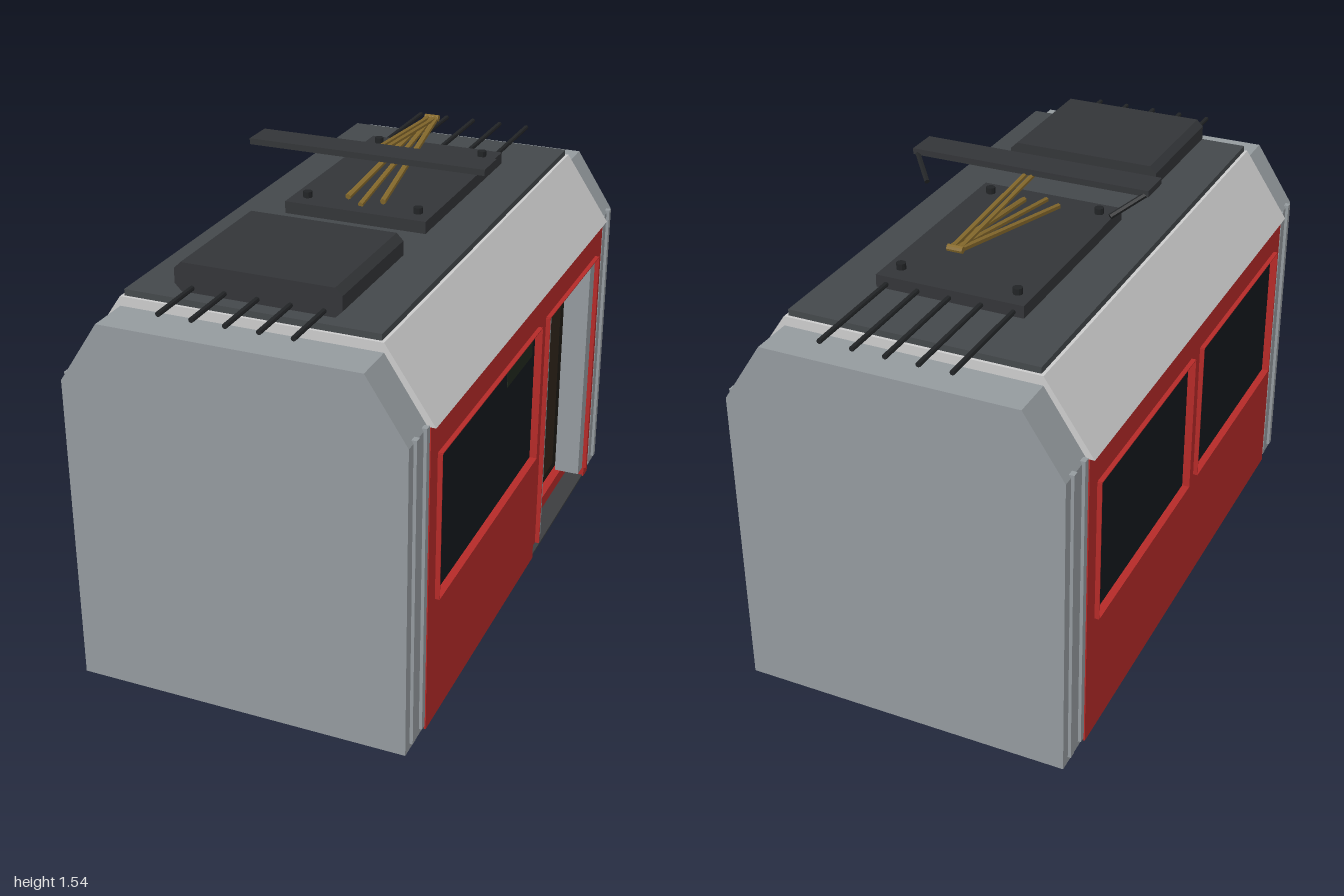
import * as THREE from 'three';

const mat = (color) => new THREE.MeshStandardMaterial({ color, flatShading: true, side: THREE.DoubleSide });
const M = {
  red: mat(0xb52a28), grey: mat(0x949a9e), light: mat(0xc6c9ca), dark: mat(0x333538), roof: mat(0x44484b),
  glass: mat(0x14181d), sign: mat(0x20281d), inside: mat(0x1f1b16), door: mat(0x30251a),
  brass: mat(0x866a2c), black: mat(0x222426), floor: mat(0x3c3d3f),
};

export function createModel() {
  const root = new THREE.Group();
  const add = (name, geo, m) => {
    const mesh = new THREE.Mesh(geo, m);
    mesh.name = name;
    root.add(mesh);
    return mesh;
  };
  // Box from its minimum and maximum along each axis
  const box = (name, m, x0, x1, y0, y1, z0, z1) =>
    add(name, new THREE.BoxGeometry(x1 - x0, y1 - y0, z1 - z0), m)
      .position.set((x0 + x1) / 2, (y0 + y1) / 2, (z0 + z1) / 2);
  const shape = (pts) => new THREE.Shape(pts.map(([x, y]) => new THREE.Vector2(x, y)));
  const extrude = (s, depth) => new THREE.ExtrudeGeometry(s, { depth, bevelEnabled: false });
  // Cross-section in x, y drawn out from z0 to z1
  const prism = (name, m, pts, z0, z1) => add(name, extrude(shape(pts), z1 - z0), m).position.z = z0;
  // Straight bar between two points
  const bar = (name, m, a, b, r, sides = 6) => {
    const p = new THREE.Vector3(...a), q = new THREE.Vector3(...b), d = q.clone().sub(p);
    const mesh = add(name, new THREE.CylinderGeometry(r, r, d.length(), sides), m);
    mesh.position.copy(p).add(q).multiplyScalar(0.5);
    mesh.quaternion.setFromUnitVectors(new THREE.Vector3(0, 1, 0), d.normalize());
  };

  // Underframe and floor
  box('underframe', M.dark, -0.33, 0.33, 0, 0.07, -0.81, 0.81);
  box('floor', M.floor, -0.545, 0.545, 0.068, 0.075, -0.86, 0.86);

  // Dark interior, leaving the doorway recess open
  box('interior', M.inside, -0.53, 0.45, 0.075, 1.09, -0.86, 0.86);
  box('interiorFront', M.inside, 0.45, 0.53, 0.075, 1.09, -0.18, 0.86);
  box('interiorBack', M.inside, 0.45, 0.53, 0.075, 1.09, -0.86, -0.81);
  box('doorHeader', M.inside, 0.45, 0.53, 0.98, 1.09, -0.81, -0.18);

  // Side walls: drawn along -z and y, then turned to face sideways
  const windowHole = (z0, z1) => shape([[-z1, 0.5], [-z0, 0.5], [-z0, 0.98], [-z1, 0.98]]);
  const wall = (name, x, outline, windows) => {
    const s = shape(outline);
    s.holes = windows.map(([z0, z1]) => windowHole(z0, z1));
    add(name, extrude(s, 0.02).rotateY(Math.PI / 2), M.red).position.x = x;
  };
  const rightWindows = [[-0.12, 0.8]];
  const leftWindows = [[-0.8, -0.04], [0.04, 0.8]];
  wall('doorSideWall', 0.53, [
    [-0.86, 0.07], [0.18, 0.07], [0.18, 0.12], [0.205, 0.12], [0.205, 0.98], [0.785, 0.98],
    [0.785, 0.12], [0.81, 0.12], [0.81, 0.07], [0.86, 0.07], [0.86, 1.09], [-0.86, 1.09],
  ], rightWindows);
  wall('windowSideWall', -0.55, [[-0.86, 0.07], [0.86, 0.07], [0.86, 1.09], [-0.86, 1.09]], leftWindows);

  // Thin raised rim around an opening
  const rim = (name, side, y0, z0, z1, bottom = true) => {
    const [a, b] = side > 0 ? [0.54, 0.565] : [-0.565, -0.54], t = 0.003;
    box(name, M.red, a, b, y0, 0.98, z0 - t, z0);
    box(name, M.red, a, b, y0, 0.98, z1, z1 + t);
    box(name, M.red, a, b, 0.98, 0.98 + t, z0, z1);
    if (bottom) box(name, M.red, a, b, y0 - t, y0, z0, z1);
  };
  for (const [side, list] of [[1, rightWindows], [-1, leftWindows]]) {
    for (const [z0, z1] of list) {
      const [a, b] = side > 0 ? [0.53, 0.54] : [-0.54, -0.53];
      box('windowGlass', M.glass, a, b, 0.5, 0.98, z0, z1);
      rim('windowRim', side, 0.5, z0, z1);
    }
  }
  box('displayPanel', M.sign, 0.538, 0.542, 0.89, 0.95, -0.09, 0.16);

  // Doorway
  rim('doorRim', 1, 0.12, -0.785, -0.205, false);
  box('doorPillar', M.grey, 0.46, 0.55, 0.12, 0.98, -0.265, -0.205);
  box('doorPillar', M.grey, 0.46, 0.55, 0.12, 0.98, -0.785, -0.73);
  box('doorPanel', M.door, 0.45, 0.456, 0.16, 0.82, -0.705, -0.285);
  box('doorSill', M.red, 0.45, 0.48, 0.075, 0.12, -0.81, -0.18);

  // End sections with vertical ribs on their sides
  const endSection = [[-0.54, 0.07], [0.54, 0.07], [0.54, 1.09], [0.41, 1.29], [-0.41, 1.29], [-0.54, 1.09]];
  for (const s of [1, -1]) {
    prism('endSection', M.grey, endSection, s > 0 ? 0.86 : -1, s > 0 ? 1 : -0.86);
    for (const side of [1, -1]) {
      for (const z of [0.88, 0.955]) {
        const x = side * 0.54;
        box('endRib', M.grey, x - 0.01, x + 0.01, 0.09, 1.1, s * z - 0.011, s * z + 0.011);
      }
    }
  }

  // Roof with sloped shoulders and a dark deck
  prism('roof', M.light, [[-0.565, 1.09], [0.565, 1.09], [0.41, 1.32], [-0.41, 1.32]], -0.86, 0.86);
  box('roofDeck', M.roof, -0.4, 0.4, 1.315, 1.34, -0.85, 0.85);

  // Equipment housing with cut corners
  prism('equipmentHousing', M.dark, [
    [-0.24, 1.34], [0.24, 1.34], [0.262, 1.362], [0.262, 1.408],
    [0.24, 1.43], [-0.24, 1.43], [-0.262, 1.408], [-0.262, 1.362],
  ], 0.35, 0.8);

  // Roof cables at both ends
  for (let i = -2; i <= 2; i++) {
    const x = i * 0.103;
    bar('frontCable', M.black, [x, 1.355, 0.79], [x, 1.355, 1], 0.008, 8);
    bar('backCable', M.black, [x, 1.355, -1], [x, 1.355, -0.61], 0.008, 8);
  }

  // Current collector: base, bolts, folding arms and contact head
  box('collectorBase', M.dark, -0.24, 0.24, 1.34, 1.38, -0.62, 0.11);
  for (const x of [-0.19, 0.19]) {
    for (const z of [-0.555, 0.045]) bar('baseBolt', M.black, [x, 1.375, z], [x, 1.4, z], 0.015, 10);
  }
  bar('lowerArm', M.brass, [0, 1.385, 0.06], [0, 1.49, -0.57], 0.009);
  for (const s of [1, -1]) {
    bar('sideArm', M.brass, [s * 0.06, 1.39, 0.02], [s * 0.015, 1.49, -0.57], 0.01);
    bar('upperArm', M.brass, [s * 0.012, 1.525, -0.02], [s * 0.012, 1.49, -0.57], 0.008);
    bar('headHorn', M.black, [s * 0.39, 1.53, -0.07], [s * 0.31, 1.478, -0.16], 0.009);
  }
  bar('elbowPin', M.brass, [-0.025, 1.49, -0.57], [0.025, 1.49, -0.57], 0.011, 8);
  box('contactHead', M.dark, -0.4, 0.4, 1.525, 1.545, -0.08, 0.03);

  return root;
}
